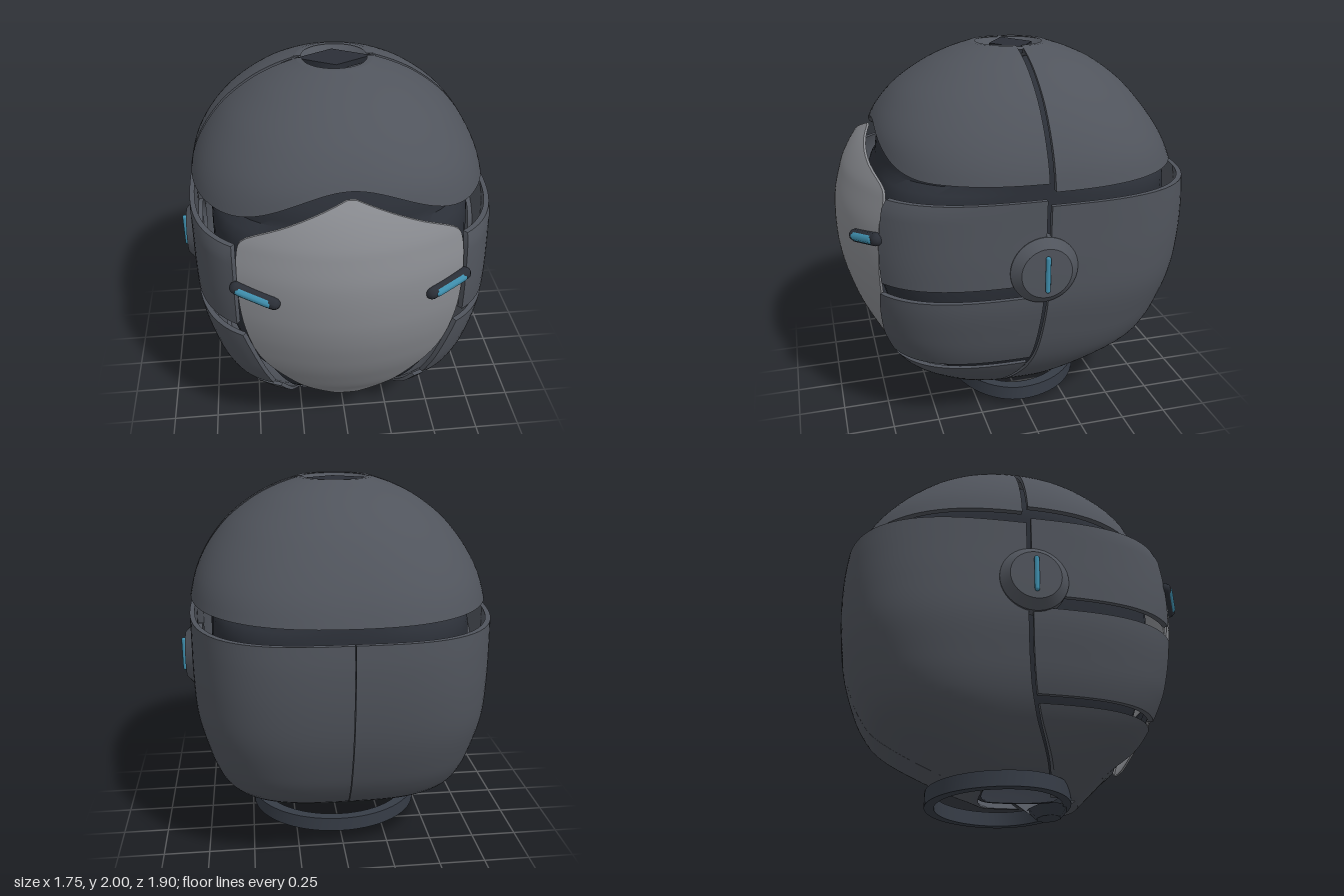
import * as THREE from 'three';
import { toCreasedNormals } from 'three/addons/utils/BufferGeometryUtils.js';

const paint = (color) => new THREE.MeshStandardMaterial({ color, side: THREE.DoubleSide });
const { clamp, lerp, smoothstep } = THREE.MathUtils;

// Section tables: [height, half width, depth to front, depth to back]
const BODY = [
  [0.05, 0.25, 0.39, 0.08], [0.13, 0.39, 0.47, 0.15], [0.2, 0.5, 0.54, 0.33], [0.3, 0.6, 0.67, 0.55],
  [0.4, 0.67, 0.74, 0.72], [0.5, 0.715, 0.79, 0.8], [0.6, 0.745, 0.83, 0.85], [0.8, 0.79, 0.87, 0.915],
  [1, 0.8, 0.89, 0.945], [1.2, 0.8, 0.88, 0.95], [1.37, 0.8, 0.85, 0.935]];
const DOME = [
  [1.38, 0.8, 0.8, 0.86], [1.5, 0.77, 0.78, 0.81], [1.6, 0.725, 0.755, 0.75], [1.7, 0.66, 0.695, 0.675],
  [1.8, 0.57, 0.6, 0.58], [1.9, 0.435, 0.45, 0.44], [1.96, 0.315, 0.32, 0.31], [2, 0.2, 0.2, 0.19]];
const CORE = [
  [0.15, 0.33, 0.41, 0.13], [0.2, 0.42, 0.46, 0.25], [0.3, 0.5, 0.56, 0.46], [0.42, 0.57, 0.64, 0.62],
  [0.6, 0.63, 0.7, 0.76], [0.85, 0.68, 0.76, 0.83], [1.2, 0.69, 0.76, 0.86], [1.4, 0.68, 0.71, 0.84],
  [1.5, 0.67, 0.69, 0.77], [1.7, 0.57, 0.58, 0.6], [1.83, 0.4, 0.42, 0.42], [1.9, 0.2, 0.2, 0.22], [1.91, 0.02, 0.02, 0.02]];
// Visor: [height, half width, depth at the middle]
const VISOR = [
  [0.27, 0.06, 0.66], [0.32, 0.155, 0.69], [0.4, 0.25, 0.745], [0.5, 0.34, 0.8], [0.6, 0.42, 0.85], [0.7, 0.48, 0.888],
  [0.85, 0.525, 0.93], [1, 0.55, 0.95], [1.2, 0.558, 0.945], [1.36, 0.545, 0.905], [1.41, 0.5, 0.885],
  [1.48, 0.32, 0.845], [1.54, 0.16, 0.8], [1.59, 0.02, 0.75]];
// Seam between the front panels and the back shell: [height, z]
const SEAM = [[0.05, 0.21], [0.13, 0.17], [0.25, 0.1], [0.35, 0.05], [0.5, 0.01], [0.8, -0.015], [1.37, -0.025]];

// Smooth lookup of a table row at height y
function rowAt(table, y) {
  y = clamp(y, table[0][0], table.at(-1)[0]);
  let i = 0;
  while (i < table.length - 2 && y > table[i + 1][0]) i++;
  const P = table[i], Q = table[i + 1], h = Q[0] - P[0], t = (y - P[0]) / h;
  const O = table[i - 1] ?? P, R = table[i + 2] ?? Q;
  return P.map((p, k) => {
    const m0 = (Q[k] - O[k]) / (Q[0] - O[0]), m1 = (R[k] - p) / (R[0] - P[0]);
    return p * (1 + 2 * t) * (1 - t) ** 2 + Q[k] * t * t * (3 - 2 * t)
      + h * (m0 * t * (1 - t) ** 2 - m1 * t * t * (1 - t));
  });
}

// Squareness of the plan section: square walls, rounder crown and neck
const power = (y) => 3.25 - 0.8 * smoothstep(y, 1.34, 1.4) - 0.4 * smoothstep(y, 1.4, 1.9)
  - 0.6 * clamp((0.45 - y) / 0.35, 0, 1);

// Point on a shell; angle runs from +z towards +x
function shellPoint(table, angle, y, inset = 0) {
  const [, a, front, back] = rowAt(table, y), n = power(y);
  const s = Math.sin(angle), c = Math.cos(angle);
  const w = Math.max(a - inset, 0.005), d = Math.max((c > 0 ? front : back) - inset, 0.005);
  const r = (Math.abs(s / w) ** n + Math.abs(c / d) ** n) ** (-1 / n);
  return [r * s, y, r * c];
}
function angleAtX(x, y) {
  const [, a, front] = rowAt(BODY, y), n = power(y);
  return Math.atan2(x, front * Math.max(0, 1 - (x / a) ** n) ** (1 / n));
}
function angleAtZ(z, y) {
  const [, a, front, back] = rowAt(BODY, y), n = power(y);
  return Math.atan2(a * Math.max(0, 1 - Math.abs(z / (z > 0 ? front : back)) ** n) ** (1 / n), z);
}

// Closed curved plate; f(u, v, layer) gives a point, layer 0 outside and 1 inside
function plate(f, nu, nv) {
  const pos = [], index = [], row = nu + 1, size = row * (nv + 1);
  for (let layer = 0; layer < 2; layer++)
    for (let j = 0; j <= nv; j++)
      for (let i = 0; i <= nu; i++) pos.push(...f(i / nu, j / nv, layer));
  const quad = (a, b, c, d) => index.push(a, b, c, a, c, d);
  for (let j = 0; j < nv; j++)
    for (let i = 0; i < nu; i++) {
      const a = j * row + i, b = a + 1, c = b + row, d = a + row;
      quad(a, b, c, d);
      quad(size + a, size + d, size + c, size + b);
    }
  const wall = (a, b) => quad(a, size + a, size + b, b);
  for (let i = 0; i < nu; i++) {
    wall(i, i + 1);
    wall(nv * row + i + 1, nv * row + i);
  }
  for (let j = 0; j < nv; j++) {
    wall(j * row + nu, (j + 1) * row + nu);
    wall((j + 1) * row, j * row);
  }
  const geo = new THREE.BufferGeometry();
  geo.setAttribute('position', new THREE.Float32BufferAttribute(pos, 3));
  geo.setIndex(index);
  return toCreasedNormals(geo, 0.7);
}
const mirrored = (f) => (u, v, layer) => {
  const [x, y, z] = f(1 - u, v, layer);
  return [-x, y, z];
};
const lathe = (pts, sides) =>
  toCreasedNormals(new THREE.LatheGeometry(pts.map((p) => new THREE.Vector2(...p)), sides), 0.6);

export function createModel() {
  const model = new THREE.Group();
  const shell = paint(0x50545c), dark = paint(0x2b2f37), trim = paint(0x363c46);
  const visorGrey = paint(0x888a8f), blue = paint(0x3f8fae);
  const add = (name, geo, mat) => {
    const mesh = new THREE.Mesh(geo, mat);
    mesh.name = name;
    model.add(mesh);
    return mesh;
  };

  // Panel on the body between two heights and two edge angles
  const bodyPanel = (y0, y1, from, to, thick = 0.025, sink = 0) => (u, v, layer) => {
    const y = lerp(y0, y1, v);
    return shellPoint(BODY, lerp(from(y), to(y), u), y, sink + layer * thick);
  };
  const pair = (name, f, nu, nv, mat) => {
    add(name + 'Left', plate(f, nu, nv), mat);
    add(name + 'Right', plate(mirrored(f), nu, nv), mat);
  };

  // Dark inner shell
  add('innerShell', plate((u, v, layer) =>
    shellPoint(CORE, (u * 2 - 1) * Math.PI, 1.91 - 1.76 * (1 - v) ** 1.5, layer * 0.02), 72, 48), dark);

  // Crown: front half with an arched brow, and back half
  const crown = (start, lowEdge, z0) => (u, v, layer) => {
    const angle = start + u * Math.PI;
    const y = 2 - (2 - lowEdge(angle)) * (1 - v) ** 2;
    const [x, py, z] = shellPoint(DOME, angle, y, layer * 0.03);
    return [x, py, z + z0];
  };
  const brow = (angle) => {
    const x = Math.min(Math.abs(shellPoint(DOME, angle, 1.5)[0]), 0.64);
    return 1.44 + 0.09 * (1 + Math.cos((Math.PI * x) / 0.64));
  };
  add('crownFront', plate(crown(-Math.PI / 2, brow, -0.025), 64, 28), shell);
  add('crownBack', plate(crown(Math.PI / 2, () => 1.4, -0.055), 64, 28), shell);

  // Dished recess and diamond plate on top
  add('crownRecess', lathe([[0.225, 1.985], [0.21, 1.998], [0.19, 1.985], [0.165, 1.955], [0.125, 1.93], [0, 1.92]], 40), shell)
    .position.z = -0.04;
  const diamond = add('crownDiamond', new THREE.CylinderGeometry(0.2, 0.2, 0.03, 4), dark);
  diamond.scale.z = 0.6;
  diamond.position.set(0, 1.975, -0.05);

  // Body panels
  const seam = (gap) => (y) => angleAtZ(rowAt(SEAM, y)[1] + gap, y);
  pair('backShell', bodyPanel(0.13, 1.33, seam(-0.012), () => Math.PI - 0.002), 40, 40, shell);
  pair('upperCheek', bodyPanel(0.92, 1.36, (y) => angleAtX(0.575, y), seam(0.012)), 24, 10, shell);
  pair('lowerCheek', bodyPanel(0.44, 0.85, (y) => angleAtX(0.41 + (y - 0.44) * 0.34, y), seam(0.012)), 24, 14, shell);
  pair('jawPanel', bodyPanel(0.06, 0.4, (y) => angleAtX(0.17 + (y - 0.06) * 0.59, y), seam(0.012)), 24, 16, shell);
  const centred = (w) => [(y) => -angleAtX(w(y), y), (y) => angleAtX(w(y), y)];
  add('jawBacking', plate(bodyPanel(0.2, 0.6, ...centred((y) => 0.26 + (y - 0.2) * 0.45), 0.03, 0.04), 24, 14), dark);
  add('chinPlate', plate(bodyPanel(0.05, 0.22, ...centred((y) => 0.17 + (y - 0.05) * 0.53), 0.06), 16, 6), shell);

  // Chin tab, and neck ring tucked behind the jaw
  add('chinTab', new THREE.CylinderGeometry(0.17, 0.1, 0.05, 8).scale(1, 1, 0.65), trim).position.set(0, 0.025, 0.24);
  add('neckRing', plate((u, v, layer) => {
    const angle = u * Math.PI * 2, r = 0.49 - layer * 0.06, c = Math.cos(angle);
    return [r * Math.sin(angle), 0.04 + v * 0.08, r * c * (c > 0 ? 0.7 : 0.88)];
  }, 64, 1), trim);

  // Visor, bowed from side to side
  add('visor', plate((u, v, layer) => {
    const [y, w, z] = rowAt(VISOR, lerp(0.27, 1.59, v));
    const x = (u * 2 - 1) * w;
    return [x, y, z - 0.55 * x * x - layer * 0.012];
  }, 32, 66), visorGrey);

  for (const side of [1, -1]) {
    const label = side > 0 ? 'Left' : 'Right';
    // Ear disc with its light strip
    const ear = add('earDisc' + label, lathe([[0.175, 0.75], [0.175, 0.805], [0.13, 0.848], [0, 0.85]], 40), shell);
    ear.rotation.z = -side * Math.PI / 2;
    ear.position.y = 1;
    add('earLight' + label, new THREE.CapsuleGeometry(0.013, 0.17, 4, 10), blue).position.set(side * 0.862, 1, 0);

    // Slanted eye: dark housing with a light inside
    const dir = new THREE.Vector3(side * 0.23, 0.05, -0.115);
    const slant = new THREE.Quaternion().setFromUnitVectors(new THREE.Vector3(0, 1, 0), dir.clone().normalize());
    const eyePart = (name, radius, length, mat, out) => {
      const mesh = add(name + label, new THREE.CapsuleGeometry(radius, length, 3, 8), mat);
      mesh.quaternion.copy(slant);
      mesh.position.set(side * (0.475 + out * 0.45), 1.135, 0.83 + out);
    };
    eyePart('eyeHousing', 0.035, 0.2, dark, 0);
    eyePart('eyeLight', 0.024, 0.155, blue, 0.015);
  }
  return model;
}
